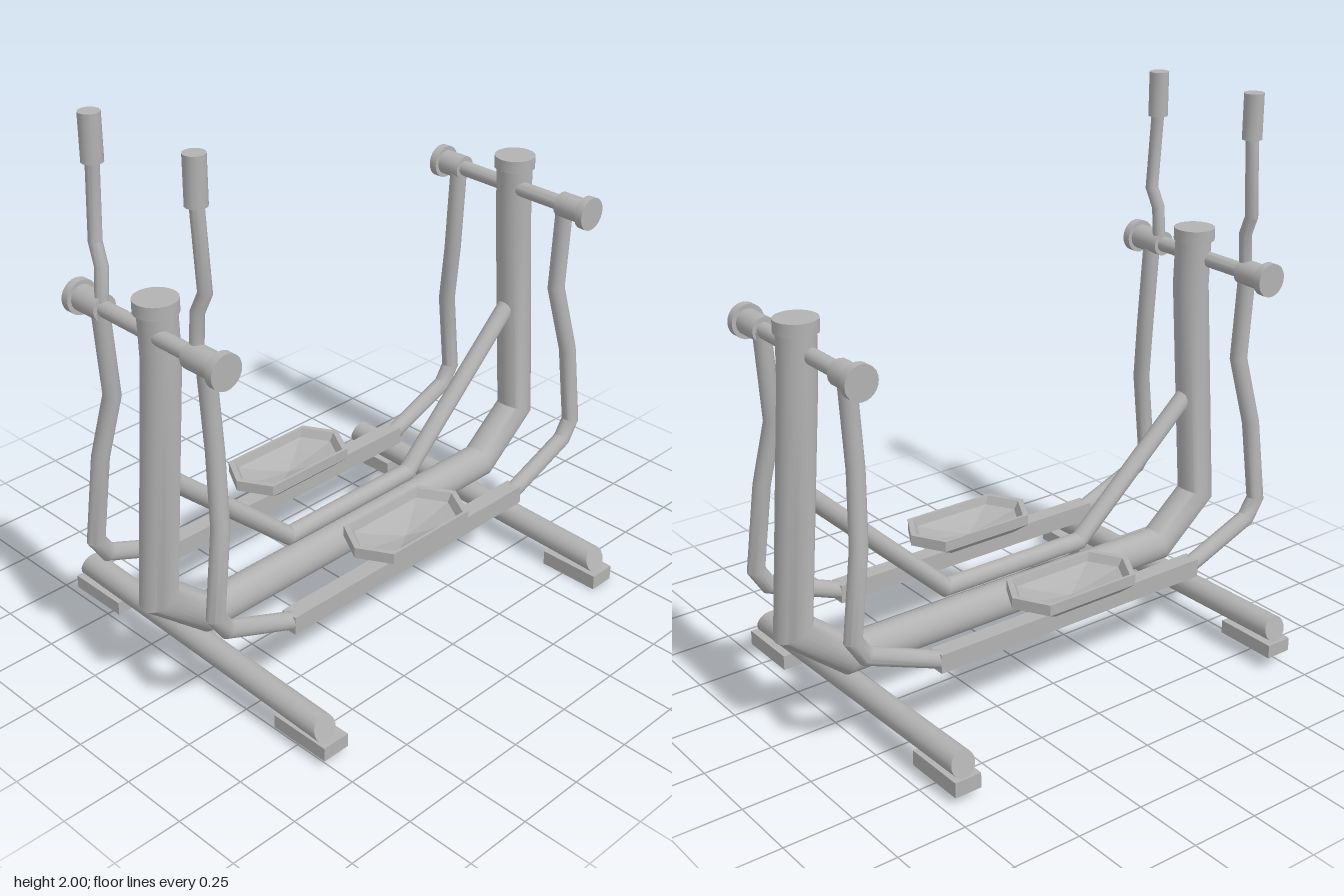
import * as THREE from 'three';
import { toCreasedNormals } from 'three/addons/utils/BufferGeometryUtils.js';

const V = (p) => new THREE.Vector3(...p);

// Round tube along straight segments with mitred bends and closed ends.
// n0 and n1 optionally slant the cut planes at the two ends.
function tubeGeometry(path, radius, { sides = 16, n0, n1 } = {}) {
  const pts = path.map(V);
  const last = pts.length - 1;
  const dirs = pts.slice(1).map((p, i) => p.clone().sub(pts[i]).normalize());
  const slide = (v, d, p, n) => v.clone().addScaledVector(d, p.clone().sub(v).dot(n) / d.dot(n));

  const d0 = dirs[0];
  const helper = Math.abs(d0.z) > 0.9 ? V([0, 1, 0]) : V([0, 0, 1]);
  const u = helper.clone().cross(d0).normalize();
  const v = d0.clone().cross(u);
  let ring = [];
  for (let i = 0; i < sides; i++) {
    const a = (i / sides) * Math.PI * 2;
    const p = pts[0].clone().addScaledVector(u, radius * Math.cos(a)).addScaledVector(v, radius * Math.sin(a));
    ring.push(slide(p, d0, pts[0], n0 ? V(n0) : d0));
  }

  const out = [];
  const tri = (...t) => t.forEach((p) => out.push(p.x, p.y, p.z));
  for (let i = 0; i < sides; i++) tri(pts[0], ring[(i + 1) % sides], ring[i]);
  for (let k = 0; k < last; k++) {
    const n = k + 1 < last ? dirs[k].clone().add(dirs[k + 1]) : n1 ? V(n1) : dirs[k];
    const next = ring.map((p) => slide(p, dirs[k], pts[k + 1], n));
    for (let i = 0; i < sides; i++) {
      const j = (i + 1) % sides;
      tri(ring[i], ring[j], next[j]);
      tri(ring[i], next[j], next[i]);
    }
    ring = next;
  }
  for (let i = 0; i < sides; i++) tri(pts[last], ring[i], ring[(i + 1) % sides]);

  const g = new THREE.BufferGeometry();
  g.setAttribute('position', new THREE.Float32BufferAttribute(out, 3));
  return toCreasedNormals(g, 0.6);
}

// Elongated hexagonal dish with a raised rim
function pedalGeometry() {
  const profile = [[0, 0.34], [0.45, 0.355], [0.76, 0.372], [1, 0.4], [1, 0.44], [0.91, 0.44], [0.84, 0.41], [0.4, 0.385], [0, 0.37]];
  const g = new THREE.LatheGeometry(profile.map(([r, y]) => new THREE.Vector2(r, y)), 6, Math.PI / 2);
  const pos = g.attributes.position;
  for (let i = 0; i < pos.count; i++) {
    const x = pos.getX(i), z = pos.getZ(i);
    const r = Math.hypot(x, z);
    const wide = Math.abs(x) > 0.9 * r ? x : Math.sign(x) * r * 0.735;
    pos.setXYZ(i, wide * 0.255, pos.getY(i), z * 0.139);
  }
  return toCreasedNormals(g, 0.1);
}

export function createModel() {
  const model = new THREE.Group();
  model.name = 'gliderExerciser';
  const grey = new THREE.MeshStandardMaterial({ color: 0xb2b2b2 });
  grey.name = 'grey';

  const add = (name, geometry) => {
    const mesh = new THREE.Mesh(geometry, grey);
    mesh.name = name;
    model.add(mesh);
    return mesh;
  };
  const tube = (name, path, radius, options) => add(name, tubeGeometry(path, radius, options));
  const box = (name, x0, x1, y0, y1, z0, z1) =>
    add(name, new THREE.BoxGeometry(x1 - x0, y1 - y0, z1 - z0))
      .position.set((x0 + x1) / 2, (y0 + y1) / 2, (z0 + z1) / 2);

  // Main frame: both posts and the low beam in one bent tube
  tube('mainFrame', [
    [-0.835, 1.45, 0], [-0.83, 1.26, 0], [-0.895, 0.41, 0], [-0.7, 0.245, 0],
    [0.69, 0.245, 0], [0.895, 0.41, 0], [0.835, 1.26, 0], [0.83, 1.45, 0],
  ], 0.065, { sides: 24 });
  for (const x of [-0.838, 0.83]) tube('postCap', [[x, 1.428, 0], [x, 1.473, 0]], 0.074, { sides: 24 });

  // Brace between the posts
  tube('brace', [[-0.83, 0.83, 0], [-0.315, 0.37, 0], [0.285, 0.37, 0], [0.84, 0.89, 0]], 0.033);

  // Floor bars with slanted ends, and the pads beneath them
  const slant = { n0: [0, -0.25, 1], n1: [0, 0.35, 1] };
  tube('rightFloorBar', [[-0.715, 0.143, -0.625], [-0.728, 0.115, 0.605]], 0.046, slant);
  tube('leftFloorBar', [[0.665, 0.128, -0.625], [0.655, 0.095, 0.61]], 0.046, slant);
  box('floorPad', -0.765, -0.66, 0.025, 0.075, 0.405, 0.64);
  box('floorPad', -0.765, -0.665, 0.05, 0.1, -0.65, -0.41);
  box('floorPad', 0.61, 0.71, 0, 0.055, 0.41, 0.645);
  box('floorPad', 0.61, 0.71, 0.03, 0.085, -0.645, -0.41);

  // Pivot bars: [x front, x back, front end z, back end z, hub inner z front, back]
  const bars = [
    [-0.865, -0.856, 0.35, -0.378, 0.19, -0.235],
    [0.807, 0.82, 0.376, -0.352, 0.24, -0.23],
  ];
  for (const [xf, xb, zf, zb, hf, hb] of bars) {
    tube('pivotBar', [[xb, 1.36, zb], [xf, 1.36, zf]], 0.028);
    for (const [x, end, inner] of [[xf, zf, hf], [xb, zb, hb]]) {
      const s = Math.sign(end);
      tube('pivotHub', [[x, 1.36, inner], [x, 1.36, end]], 0.045);
      tube('pivotDisc', [[x, 1.36, end - s * 0.03], [x, 1.36, end]], 0.06, { sides: 24 });
    }
  }

  // Swinging legs, foot rails and pedals on both sides
  for (const s of [1, -1]) {
    const top = 0.252 * s, low = 0.305 * s;
    tube('swingLeg', [
      [-0.862, 1.36, top], [-0.84, 1.04, top], [-0.871, 0.8, low * 0.98],
      [-0.91, 0.49, low], [-0.865, 0.42, low], [-0.59, 0.31, low],
    ], 0.031);
    tube('swingLeg', [
      [0.812, 1.36, top], [0.79, 1.04, top], [0.818, 0.8, low * 0.98],
      [0.855, 0.49, low], [0.81, 0.42, low], [0.53, 0.31, low],
    ], 0.031);
    box('footRail', -0.6, 0.54, 0.272, 0.34, low - 0.031, low + 0.031);
    add('pedal', pedalGeometry()).position.set(-0.025, 0, s > 0 ? 0.29 : -0.31);
  }

  // Hand levers with grips, on one end only
  for (const [z, out, foot] of [[0.222, 0.24, 0.208], [-0.258, -0.278, -0.247]]) {
    tube('handLever', [
      [-0.858, 1.36, foot], [-0.848, 1.5, foot], [-0.842, 1.57, out], [-0.845, 1.86, z],
    ], 0.023);
    tube('handGrip', [[-0.845, 1.84, z], [-0.845, 2, z]], 0.036, { sides: 12 });
  }

  return model;
}
